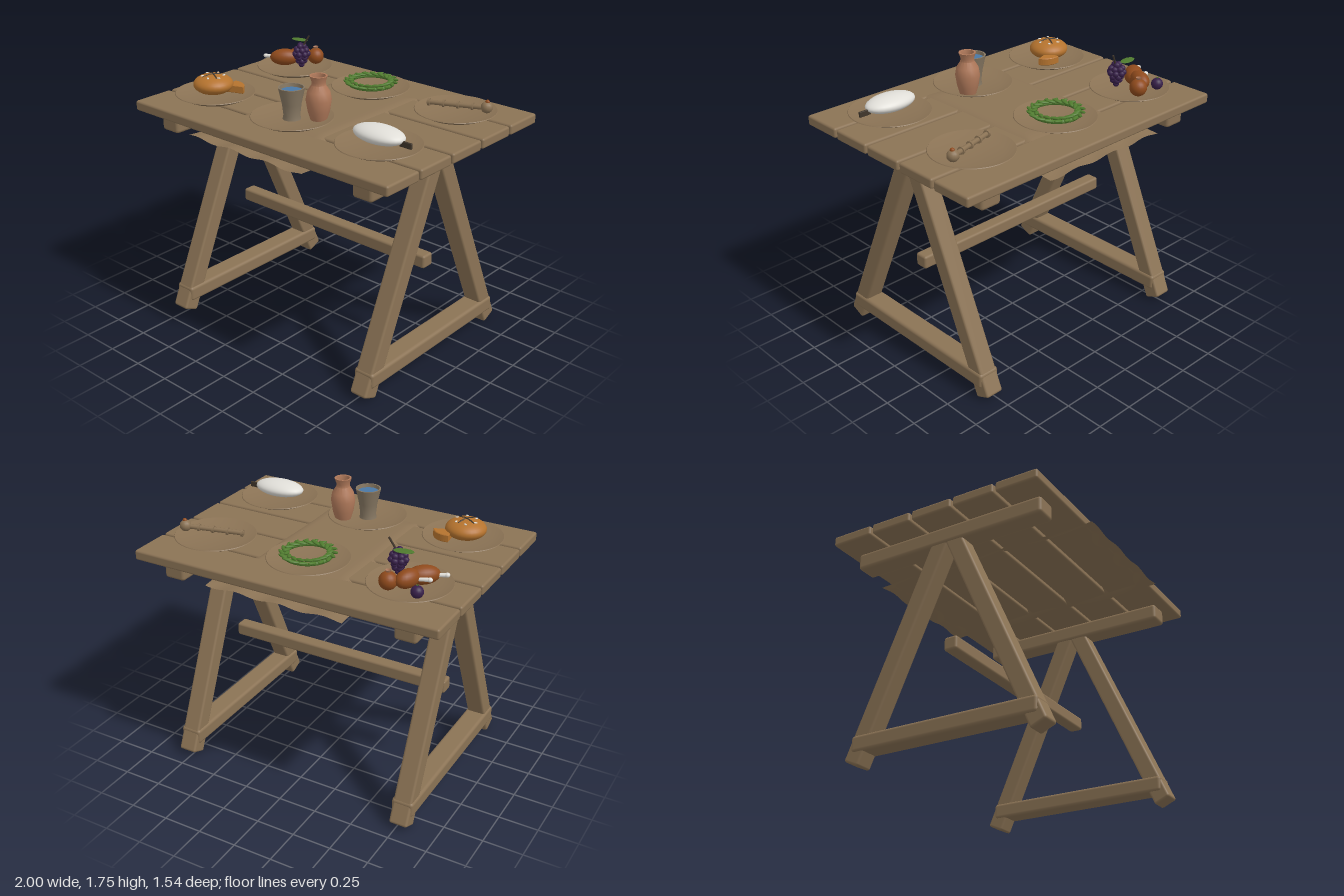
import * as THREE from 'three';
import { RoundedBoxGeometry } from 'three/addons/geometries/RoundedBoxGeometry.js';
import { toCreasedNormals } from 'three/addons/utils/BufferGeometryUtils.js';

const mat = (name, color, side = THREE.FrontSide) => {
  const m = new THREE.MeshStandardMaterial({ color, side });
  m.name = name;
  return m;
};

export function createModel() {
  const root = new THREE.Group();
  root.name = 'laidTable';
  const wood = mat('wood', 0x8b7355, THREE.DoubleSide);
  const clay = mat('terracotta', 0xb0795a, THREE.DoubleSide);
  const crust = mat('breadCrust', 0xb5732e);
  const meat = mat('roastBrown', 0x8f4a1c);
  const green = mat('leafGreen', 0x4f7a2e, THREE.DoubleSide);
  const purple = mat('grapePurple', 0x38204a);
  const white = mat('white', 0xe0ded8);
  const blue = mat('waterBlue', 0x4a78a5);
  const dark = mat('darkStem', 0x40362b);
  const pewter = mat('cupGrey', 0x857661, THREE.DoubleSide);

  const group = (name, x = 0, y = 0, z = 0) => {
    const g = new THREE.Group();
    g.name = name;
    g.position.set(x, y, z);
    root.add(g);
    return g;
  };
  const add = (parent, name, geo, material, x = 0, y = 0, z = 0) => {
    const m = new THREE.Mesh(geo, material);
    m.name = name;
    m.position.set(x, y, z);
    parent.add(m);
    return m;
  };
  const box = (w, h, d, r) => new RoundedBoxGeometry(w, h, d, 2, r);
  const ball = (rx, ry, rz, n = 20) => new THREE.SphereGeometry(1, n, Math.ceil(n * 0.7)).scale(rx, ry, rz);
  const lathe = (pts, n) => toCreasedNormals(
    new THREE.LatheGeometry(pts.map(p => new THREE.Vector2(...p)), n), 0.6);
  // Round bar between two points
  const bar = (parent, name, a, b, r0, r1, material, n = 8) => {
    const A = new THREE.Vector3(...a), B = new THREE.Vector3(...b);
    const m = add(parent, name, new THREE.CylinderGeometry(r1, r0, A.distanceTo(B), n), material);
    m.position.copy(A).add(B).multiplyScalar(0.5);
    m.quaternion.setFromUnitVectors(new THREE.Vector3(0, 1, 0), B.sub(A).normalize());
    return m;
  };

  // Table top
  const top = group('tableTop');
  for (let i = -2; i <= 2; i++) add(top, 'plank', box(2, 0.064, 0.275, 0.014), wood, 0, 1.429, i * 0.291);

  // Trestles: beam, two splayed legs and a foot bar on each side
  const tilt = Math.atan2(0.597, 1.345);
  for (const s of [-1, 1]) {
    const t = group('trestle', s * 0.77, 0, 0);
    add(t, 'beam', box(0.14, 0.107, 1.3, 0.02), wood, 0, 1.343, 0);
    add(t, 'footBar', box(0.14, 0.1, 1.23, 0.02), wood, 0, 0.137, 0);
    for (const d of [-1, 1]) {
      const leg = add(t, 'leg', box(0.12, 1.472, 0.11, 0.015), wood, 0, 0.698, d * 0.3185);
      leg.rotation.x = -d * tilt;
    }
  }
  add(root, 'stretcher', box(1.52, 0.085, 0.088, 0.015), wood, 0, 0.662, 0);

  // Runner cloth: flat in the middle, sinking to a wavy hem
  const cloth = new THREE.PlaneGeometry(0.9, 1.545, 36, 48).rotateX(-Math.PI / 2);
  const cp = cloth.attributes.position;
  for (let i = 0; i < cp.count; i++) {
    const x = cp.getX(i), z = cp.getZ(i);
    const drop = Math.max(THREE.MathUtils.smoothstep(Math.abs(x), 0.26, 0.45),
      THREE.MathUtils.smoothstep(Math.abs(z), 0.38, 0.77));
    cp.setY(i, 1.47 - drop * (0.083 + 0.008 * Math.sin(x * 22 + z * 9)));
  }
  cloth.computeVertexNormals();
  add(root, 'runner', cloth, wood);

  // Six shallow plates
  const plateGeo = lathe([[0, 1.474], [0.19, 1.474], [0.25, 1.503], [0.247, 1.507], [0.18, 1.488], [0, 1.485]], 40);
  for (const x of [-0.655, 0, 0.655])
    for (const z of [-0.365, 0.362]) add(root, 'plate', plateGeo, wood, x, 0, z);

  // Round loaf with a scored cross, seeds and a cut wedge
  const loaf = group('roundLoaf', -0.672, 1.552, 0.36);
  add(loaf, 'loafBody', ball(0.126, 0.062, 0.124, 28), crust);
  for (let i = 0; i < 2; i++) {
    const cut = add(loaf, 'score', new THREE.TorusGeometry(0.1, 0.005, 6, 20, Math.PI * 0.8)
      .rotateZ(Math.PI * 0.1).scale(1, 0.66, 1), dark);
    cut.rotation.y = -0.42 + i * Math.PI / 2;
  }
  for (let i = 0; i < 6; i++) {
    const a = i * 1.05 + 0.2;
    const seed = add(loaf, 'seed', ball(0.013, 0.005, 0.007, 8), white, 0.066 * Math.cos(a), 0.053, 0.066 * Math.sin(a));
    seed.rotation.y = a * 2;
  }
  const wedge = new THREE.Shape();
  wedge.moveTo(-0.06, 0.045);
  wedge.quadraticCurveTo(0.02, 0.06, 0.055, -0.008);
  wedge.lineTo(-0.05, -0.045);
  add(root, 'breadWedge', new THREE.ExtrudeGeometry(wedge, {
    depth: 0.04, bevelEnabled: true, bevelSize: 0.004, bevelThickness: 0.004, bevelSegments: 1,
  }).rotateX(-Math.PI / 2), crust, -0.556, 1.505, 0.265);

  // Two roast drumsticks
  const roast = group('drumsticks');
  const meatA = add(roast, 'meat', ball(0.098, 0.055, 0.058), meat, -0.722, 1.552, -0.338);
  meatA.rotation.y = 0.72;
  const meatB = add(roast, 'meat', ball(0.085, 0.055, 0.052), meat, -0.672, 1.557, -0.43);
  meatB.rotation.y = 1.2;
  for (const [a, b] of [[[-0.78, 1.55, -0.305], [-0.84, 1.552, -0.278]], [[-0.7, 1.55, -0.405], [-0.785, 1.555, -0.385]]]) {
    bar(roast, 'bone', a, b, 0.012, 0.012, white);
    add(roast, 'boneKnob', ball(0.016, 0.014, 0.016, 10), white, ...b);
  }

  // Grape bunch, narrowing downwards, with stem and leaf
  const grapes = group('grapes', -0.565, 0, -0.333);
  [[1, 0], [4, 0.02], [5, 0.03], [7, 0.042], [6, 0.034], [3, 0.016]].forEach(([n, r], row) => {
    for (let i = 0; i < n; i++) {
      const a = i / n * Math.PI * 2 + row * 0.7;
      add(grapes, 'grape', ball(0.02, 0.02, 0.02, 10), purple, r * Math.cos(a), 1.535 + row * 0.025, r * Math.sin(a));
    }
  });
  bar(grapes, 'stem', [0.01, 1.655, 0], [0.055, 1.735, -0.015], 0.006, 0.006, dark);
  const leaf = add(grapes, 'leaf', ball(0.062, 0.004, 0.033, 12), green, -0.05, 1.685, -0.04);
  leaf.rotation.y = 0.15;

  // Pomegranate and fig, each with a little crown
  for (const [name, m, r, x, y, z] of [['pomegranate', meat, 0.054, -0.584, 1.551, -0.495], ['fig', purple, 0.037, -0.762, 1.527, -0.497]]) {
    const f = group(name, x, y, z);
    add(f, 'fruit', ball(r, r, r), m);
    add(f, 'crown', new THREE.CylinderGeometry(r * 0.38, r * 0.22, r * 0.35, 6, 1, true),
      m === meat ? clay : green, 0, r * 1.05, 0).scale.setScalar(name === 'fig' ? 0.5 : 0.9);
  }

  // Leaf wreath
  const wreath = group('wreath', 0, 1.523, -0.368);
  add(wreath, 'wreathCore', new THREE.TorusGeometry(0.138, 0.012, 8, 32).rotateX(Math.PI / 2), green);
  for (let i = 0; i < 36; i++) {
    const a = i / 36 * Math.PI * 2, out = i % 2;
    const r = out ? 0.15 : 0.125;
    const l = add(wreath, 'wreathLeaf', ball(0.037, 0.009, 0.014, 8), green,
      r * Math.cos(a), out ? 0.01 : 0.018, r * Math.sin(a));
    l.rotation.set(0, -a - Math.PI / 2 + (out ? 0.65 : -0.5), out ? 0.2 : -0.15);
  }

  // Cup of water
  const cup = group('cup', -0.004, 0, 0.36);
  add(cup, 'cupBody', lathe([[0, 1.486], [0.055, 1.486], [0.05, 1.51], [0.058, 1.58], [0.08, 1.68],
    [0.07, 1.68], [0.064, 1.645]], 20), pewter);
  add(cup, 'water', new THREE.CylinderGeometry(0.067, 0.062, 0.008, 20), blue, 0, 1.655, 0);

  // Clay jug
  add(root, 'jug', lathe([[0, 1.486], [0.05, 1.486], [0.066, 1.54], [0.077, 1.61], [0.068, 1.66], [0.043, 1.7],
    [0.042, 1.72], [0.054, 1.755], [0.042, 1.755], [0.034, 1.71], [0.05, 1.65], [0, 1.64]], 16), clay, 0.125, 0, 0.267);

  // Ringed rod with a knob
  const rod = group('ringedRod');
  const p0 = [0.485, 1.525, -0.31], p1 = [0.84, 1.54, -0.42];
  bar(rod, 'shaft', p0, p1, 0.015, 0.015, wood, 10);
  for (const t of [0.03, 0.28, 0.52, 0.76]) {
    const at = u => p0.map((v, i) => v + (p1[i] - v) * u);
    bar(rod, 'ring', at(t - 0.018), at(t + 0.018), 0.023, 0.023, wood, 10);
  }
  add(rod, 'knob', ball(0.036, 0.036, 0.036, 14), wood, 0.837, 1.543, -0.42);
  add(rod, 'stud', ball(0.014, 0.014, 0.014, 10), meat, 0.84, 1.576, -0.42);

  // White oval with a small dark stem
  add(root, 'whiteOval', ball(0.17, 0.05, 0.1, 28), white, 0.652, 1.556, 0.36);
  add(root, 'ovalStem', box(0.08, 0.035, 0.014, 0.004), dark, 0.838, 1.54, 0.36);

  return root;
}
